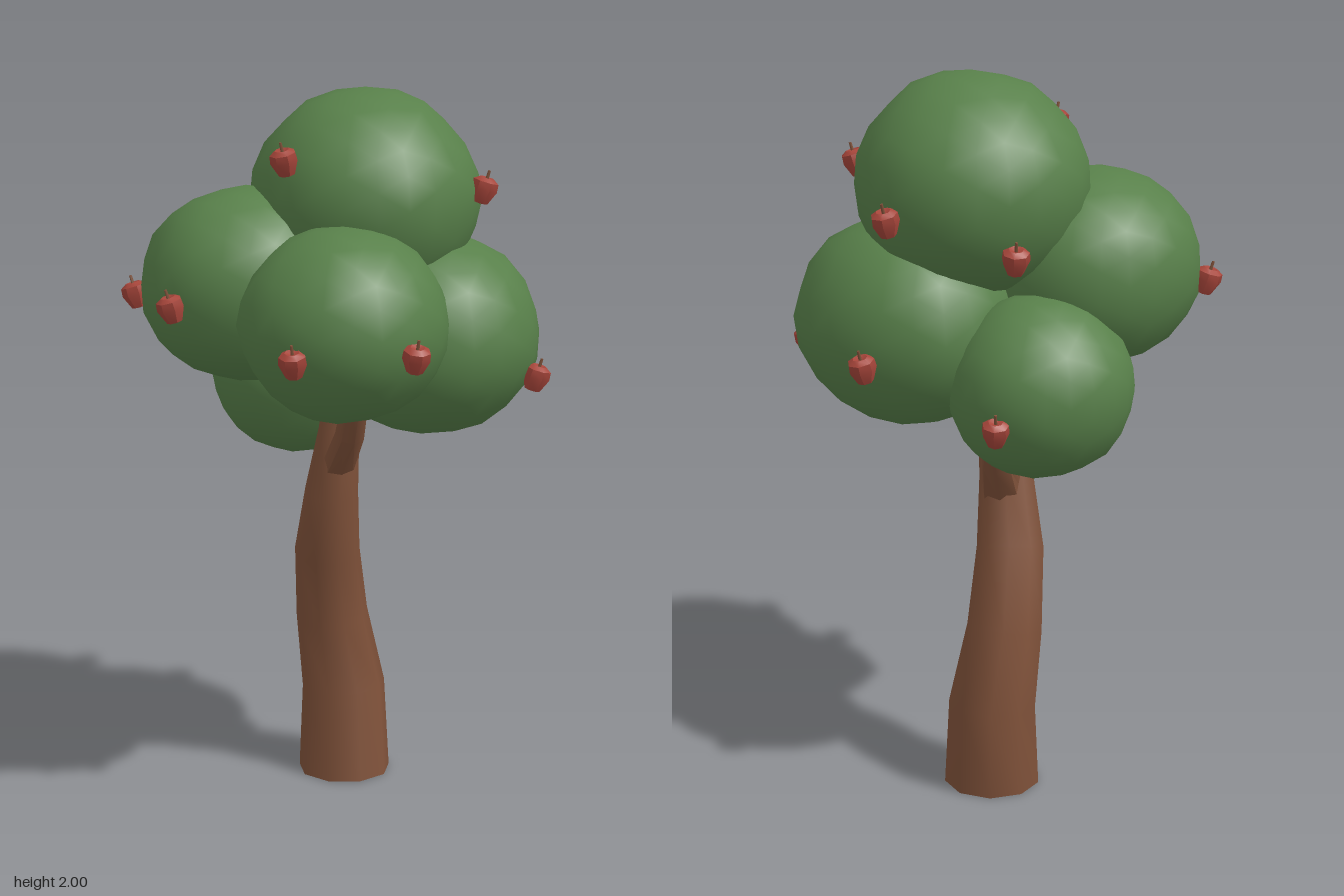
import * as THREE from 'three';
import { mergeVertices, toCreasedNormals } from 'three/addons/utils/BufferGeometryUtils.js';

const leafGreen = new THREE.MeshStandardMaterial({ color: 0x58804a });
const barkBrown = new THREE.MeshStandardMaterial({ color: 0x80523a });
const appleRed = new THREE.MeshStandardMaterial({ color: 0xa6453a });
leafGreen.name = 'leafGreen';
barkBrown.name = 'barkBrown';
appleRed.name = 'appleRed';

const UP = new THREE.Vector3(0, 1, 0);

function add(parent, name, geometry, material) {
  const mesh = new THREE.Mesh(geometry, material);
  mesh.name = name;
  parent.add(mesh);
  return mesh;
}

// Tapered limb through [x, y, z, radius] stations, closed at both ends
function limb(stations, sides) {
  const centres = stations.map(([x, y, z]) => new THREE.Vector3(x, y, z));
  const last = centres.length - 1;
  const positions = [], index = [];
  stations.forEach(([, , , r], i) => {
    const along = centres[Math.min(i + 1, last)].clone().sub(centres[Math.max(i - 1, 0)]).normalize();
    const turn = new THREE.Quaternion().setFromUnitVectors(UP, i === 0 ? UP : along);
    for (let s = 0; s < sides; s++) {
      const a = (s / sides) * Math.PI * 2;
      const p = new THREE.Vector3(Math.sin(a) * r, 0, Math.cos(a) * r).applyQuaternion(turn).add(centres[i]);
      positions.push(p.x, p.y, p.z);
    }
  });
  for (let i = 0; i < last; i++) {
    for (let s = 0; s < sides; s++) {
      const a = i * sides + s, b = i * sides + (s + 1) % sides;
      index.push(a, b, a + sides, b, b + sides, a + sides);
    }
  }
  for (let s = 1; s < sides - 1; s++) {
    const top = last * sides;
    index.push(0, s + 1, s, top, top + s, top + s + 1);
  }
  const g = new THREE.BufferGeometry();
  g.setAttribute('position', new THREE.Float32BufferAttribute(positions, 3));
  g.setIndex(index);
  return toCreasedNormals(g, 0.9);
}

// Slightly lumpy ellipsoid of leaves
function leafBall(rx, ry, rz, seed) {
  let g = new THREE.IcosahedronGeometry(1, 3);
  g.deleteAttribute('normal');
  g.deleteAttribute('uv');
  g = mergeVertices(g, 1e-3);
  const pos = g.attributes.position;
  const p = new THREE.Vector3();
  for (let i = 0; i < pos.count; i++) {
    p.fromBufferAttribute(pos, i);
    const k = 1.005 + 0.014 * Math.sin(i * 12.9 + seed * 4.7);
    pos.setXYZ(i, p.x * rx * k, p.y * ry * k, p.z * rz * k);
  }
  g.rotateY(0);
  g.computeVertexNormals();
  return g;
}

export function createModel() {
  const tree = new THREE.Group();
  tree.name = 'appleTree';

  // Leaning trunk and the branches that fork from it
  add(tree, 'trunk', limb([
    [0.065, 0, -0.16, 0.134], [0.07, 0.25, -0.18, 0.122], [0.035, 0.47, -0.183, 0.105],
    [0, 0.68, -0.125, 0.094], [-0.008, 0.87, -0.065, 0.076], [0.005, 1.05, -0.04, 0.058],
    [0.05, 1.4, -0.05, 0.045],
  ], 9), barkBrown);
  add(tree, 'backBranch', limb([
    [0.01, 0.82, -0.09, 0.06], [0.045, 0.94, -0.155, 0.048], [0.08, 1.08, -0.24, 0.036],
  ], 7), barkBrown);
  add(tree, 'frontBranch', limb([
    [-0.005, 0.93, -0.04, 0.05], [0, 1.06, 0.06, 0.042], [-0.01, 1.24, 0.16, 0.034],
  ], 7), barkBrown);

  // Crown: centre and radii of each leaf ball
  const crown = [
    ['topLeaves', 0.09, 1.695, -0.062, 0.315, 0.303, 0.332],
    ['frontLeaves', -0.08, 1.4, 0.225, 0.28, 0.262, 0.282],
    ['leftLeaves', 0.245, 1.325, 0.01, 0.308, 0.287, 0.342],
    ['rightLeaves', -0.235, 1.465, -0.125, 0.294, 0.268, 0.285],
    ['backLeaves', -0.025, 1.19, -0.3, 0.25, 0.247, 0.247],
  ];
  crown.forEach(([name, x, y, z, rx, ry, rz], i) => {
    add(tree, name, leafBall(rx, ry, rz, i), leafGreen).position.set(x, y, z);
  });

  // Apples: faceted body with a dimpled top and a short stem
  const profile = [[0, -0.037], [0.022, -0.034], [0.038, 0.004], [0.036, 0.026], [0.02, 0.036], [0, 0.028]]
    .map(([r, y]) => new THREE.Vector2(r, y));
  const body = toCreasedNormals(new THREE.LatheGeometry(profile, 7), 0.6);
  const stem = new THREE.CylinderGeometry(0.004, 0.005, 0.03, 5).translate(0, 0.041, 0);
  const spots = [
    [-0.2, 1.82, 0.1], [0.35, 1.73, 0.155], [0.38, 1.645, -0.255], [0.475, 1.22, 0.245],
    [0.45, 1.265, -0.265], [-0.29, 1.34, 0.42], [0.012, 1.35, 0.512], [-0.5, 1.435, 0.04],
    [-0.515, 1.43, -0.255], [0.155, 1.125, -0.475], [0.07, 1.55, -0.378],
  ];
  spots.forEach(([x, y, z]) => {
    const apple = new THREE.Group();
    apple.name = 'apple';
    add(apple, 'appleBody', body, appleRed);
    add(apple, 'appleStem', stem, barkBrown);
    apple.position.set(x, y, z);
    // Lean each apple a little away from the crown
    const lean = new THREE.Vector3(x, 0, z).normalize().multiplyScalar(0.3).add(UP).normalize();
    apple.quaternion.setFromUnitVectors(UP, lean);
    tree.add(apple);
  });

  return tree;
}
